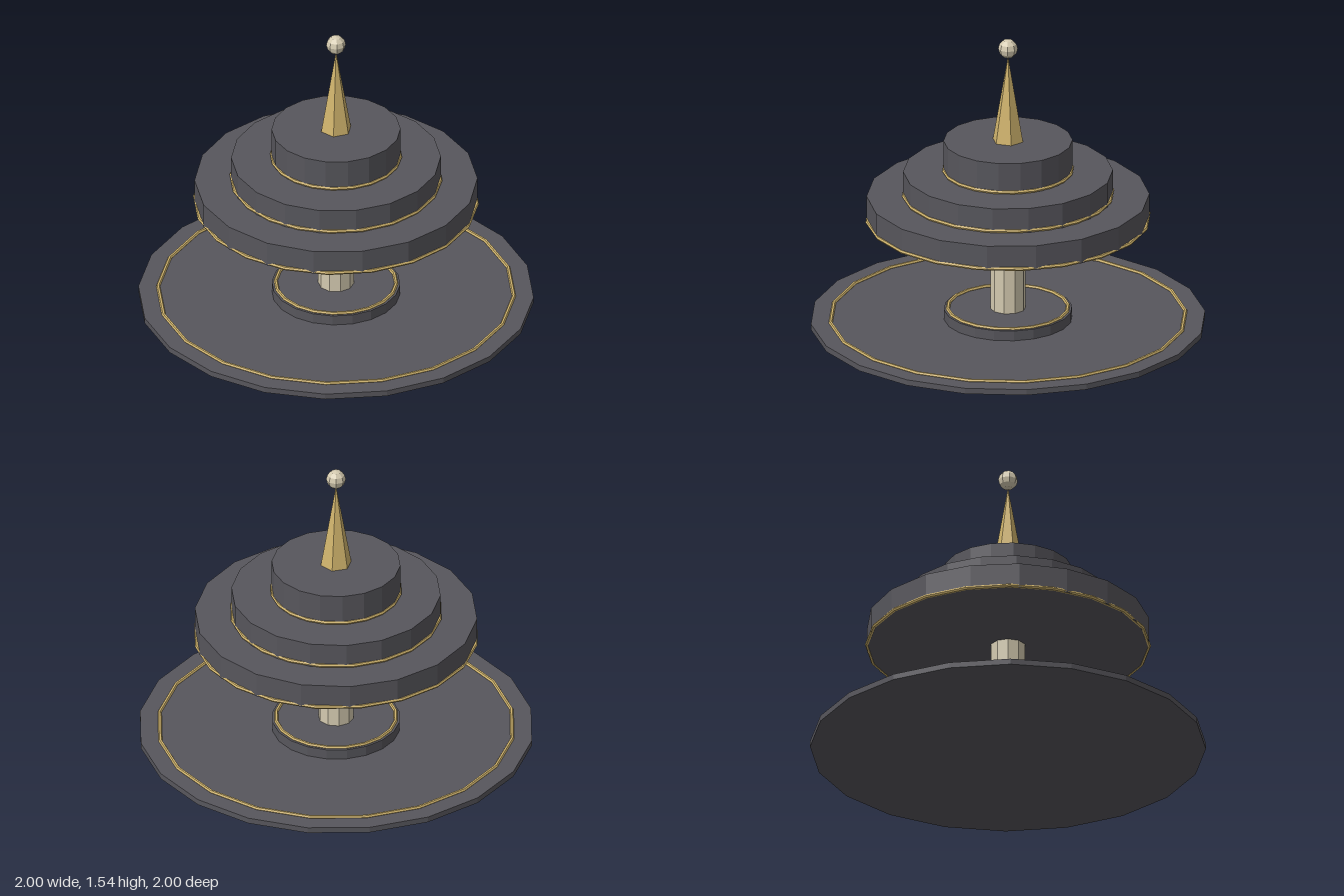
import * as THREE from 'three';

export function createModel() {
  const group = new THREE.Group();
  const material = (name, color) => {
    const m = new THREE.MeshStandardMaterial({ color, flatShading: true });
    m.name = name;
    return m;
  };
  const slate = material('slate grey', 0x57565c);
  const gold = material('gold', 0xcfb36c);
  const cream = material('cream', 0xd4cab0);

  const add = (name, geometry, mat, y) => {
    const mesh = new THREE.Mesh(geometry, mat);
    mesh.name = name;
    mesh.position.y = y;
    group.add(mesh);
  };
  // Faceted disc standing between two heights
  const disc = (name, radius, bottom, top, sides, mat = slate) =>
    add(name, new THREE.CylinderGeometry(radius, radius, top - bottom, sides), mat, (bottom + top) / 2);
  // Thin horizontal gold trim
  const trim = (name, radius, y) =>
    add(name, new THREE.TorusGeometry(radius, 0.01, 6, 20).rotateX(Math.PI / 2), gold, y);

  // Base plate and step
  disc('basePlate', 1, 0, 0.03, 20);
  trim('basePlateTrim', 0.9, 0.033);
  disc('baseStep', 0.325, 0.03, 0.083, 20);
  trim('baseStepTrim', 0.305, 0.086);

  // Central column
  disc('column', 0.09, 0.08, 0.58, 10, cream);

  // Stacked tiers, each with a trim at its foot: radius, bottom, top
  [
    [0.715, 0.565, 0.695],
    [0.53, 0.695, 0.826],
    [0.326, 0.826, 0.992],
  ].forEach(([radius, bottom, top], i) => {
    disc(`tier${i + 1}`, radius, bottom, top, 18);
    trim(`tierTrim${i + 1}`, radius - 0.002, bottom + (i ? 0.01 : 0.007));
  });

  // Spire and finial ball
  add('spire', new THREE.ConeGeometry(0.08, 0.458, 6), gold, 1.221);
  add('finialBall', new THREE.SphereGeometry(0.05, 8, 6), cream, 1.49);

  return group;
}
